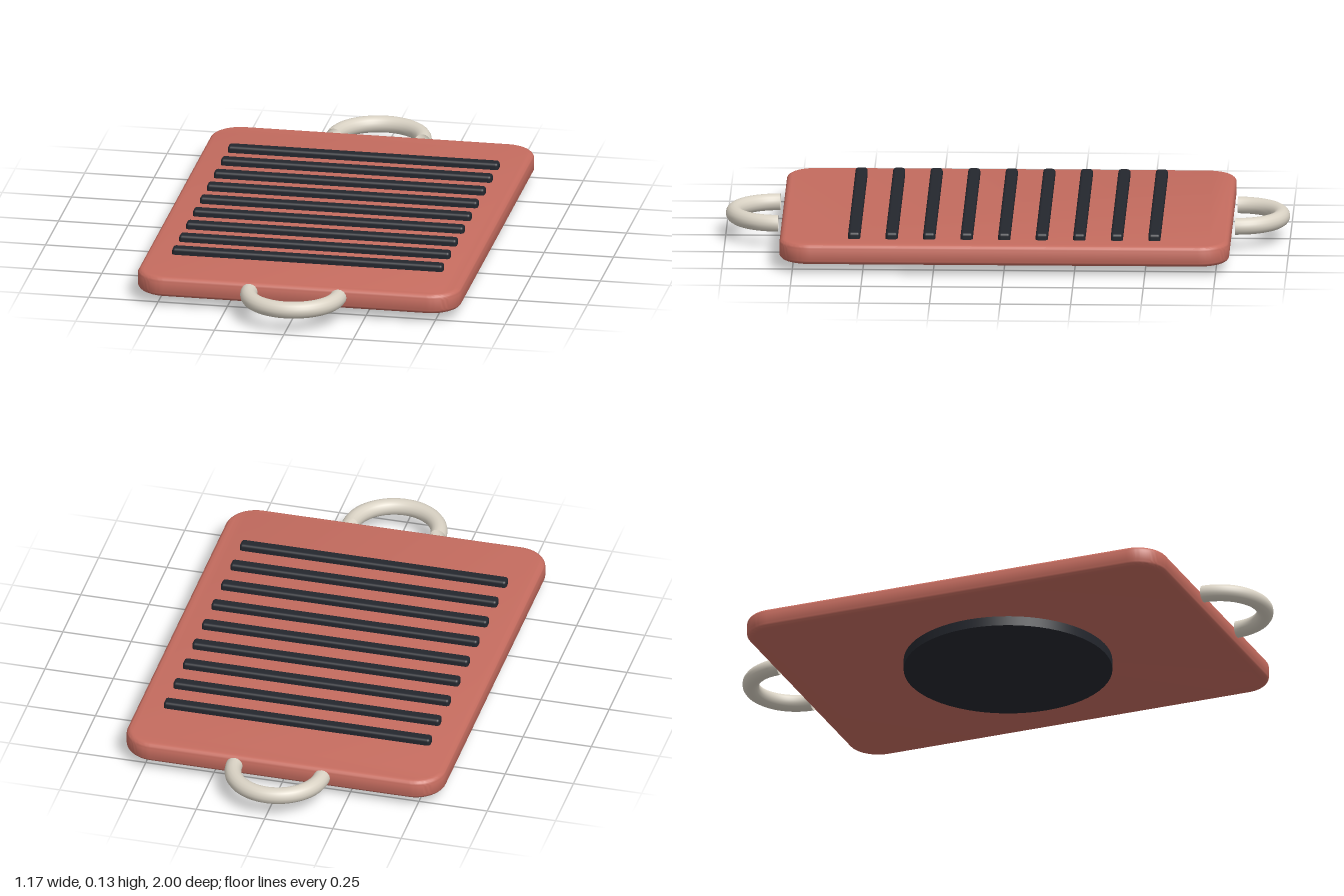
import * as THREE from 'three';
import { toCreasedNormals } from 'three/addons/utils/BufferGeometryUtils.js';
import { RoundedBoxGeometry } from 'three/addons/geometries/RoundedBoxGeometry.js';

const mat = (name, color) => {
  const m = new THREE.MeshStandardMaterial({ color });
  m.name = name;
  return m;
};

// Rounded rectangle outline, centred on the origin
function roundedRect(w, d, r) {
  const x = w / 2 - r, y = d / 2 - r;
  const s = new THREE.Shape();
  s.absarc(x, y, r, 0, Math.PI / 2);
  s.absarc(-x, y, r, Math.PI / 2, Math.PI);
  s.absarc(-x, -y, r, Math.PI, Math.PI * 1.5);
  s.absarc(x, -y, r, Math.PI * 1.5, Math.PI * 2);
  s.closePath();
  return s;
}

export function createModel() {
  const red = mat('terracotta red', 0xc56c5f);
  const black = mat('rubber black', 0x24272e);
  const cream = mat('warm cream', 0xd9d2c4);
  cream.side = THREE.DoubleSide;

  const model = new THREE.Group();
  const add = (name, geometry, material, x = 0, y = 0, z = 0) => {
    const mesh = new THREE.Mesh(geometry, material);
    mesh.name = name;
    mesh.position.set(x, y, z);
    model.add(mesh);
    return mesh;
  };

  // Board with rounded corners and softened rims
  const bevel = 0.02, bottom = 0.035, top = 0.108;
  const board = new THREE.ExtrudeGeometry(roundedRect(1.166 - 2 * bevel, 1.594 - 2 * bevel, 0.09), {
    depth: top - bottom - 2 * bevel, bevelSize: bevel, bevelThickness: bevel,
    bevelSegments: 5, curveSegments: 10,
  });
  board.rotateX(-Math.PI / 2);
  add('board', toCreasedNormals(board, 0.6), red, 0, bottom + bevel, 0);

  // Nine grip ribs, partly sunk into the board
  const rib = new RoundedBoxGeometry(0.976, 0.036, 0.043, 3, 0.011);
  for (let i = -4; i <= 4; i++) add('gripRib', rib, black, 0, 0.114, i * 0.133);

  // Round foot under the board
  add('foot', new THREE.CylinderGeometry(0.37, 0.37, 0.037, 64), black, 0, 0.0185, 0);

  // Half-ring handles at both ends
  const handle = new THREE.TorusGeometry(0.16, 0.03, 16, 48, Math.PI);
  handle.rotateX(Math.PI / 2);
  add('frontHandle', handle, cream, 0, 0.083, 0.81);
  add('backHandle', handle, cream, 0, 0.083, -0.81).rotation.y = Math.PI;

  return model;
}
